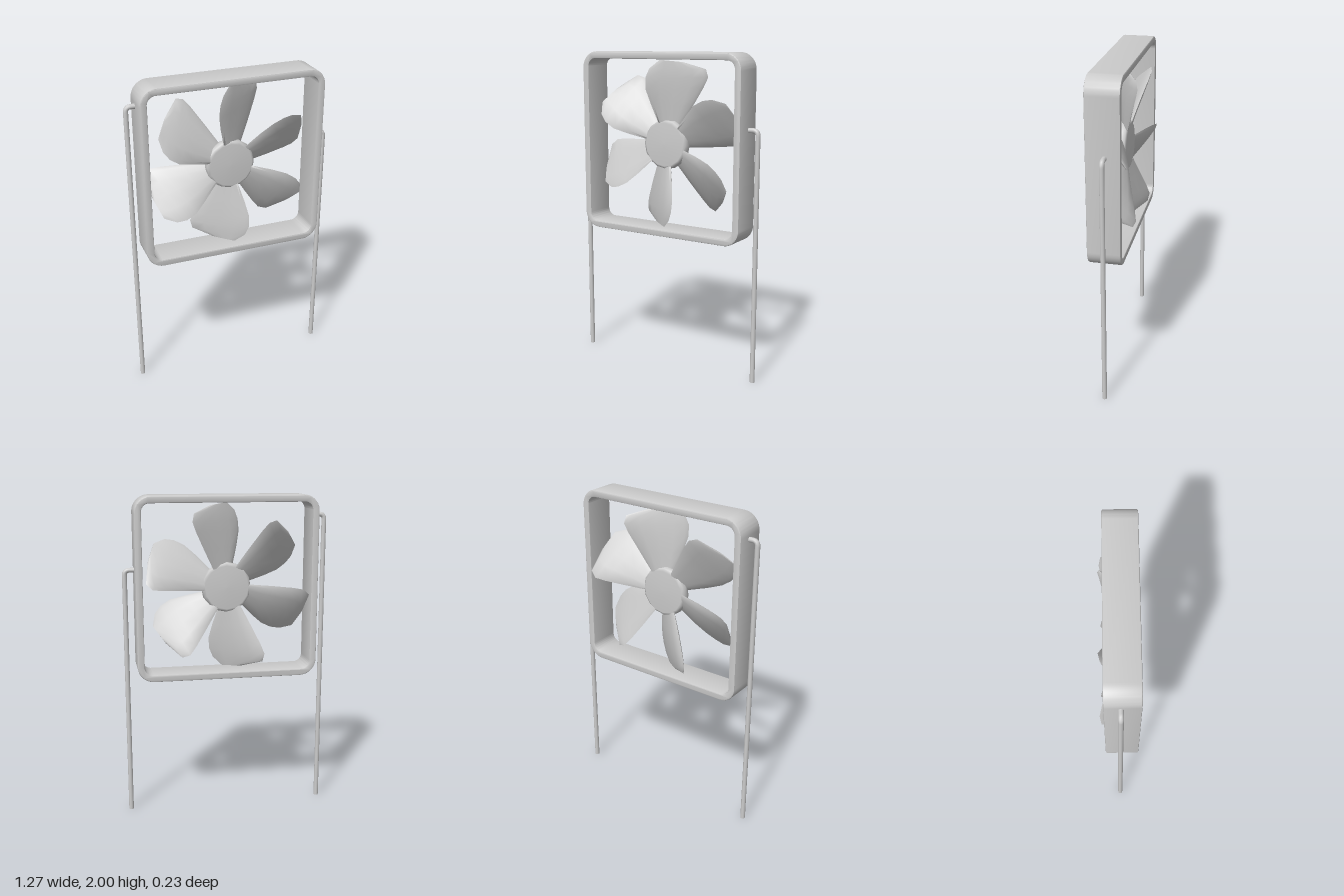
import * as THREE from 'three';
import { toCreasedNormals, mergeVertices } from 'three/addons/utils/BufferGeometryUtils.js';

const material = new THREE.MeshStandardMaterial({ color: 0xcccccc });
const CX = -0.003, CY = 1.436;

function part(name, geometry) {
  const mesh = new THREE.Mesh(geometry, material);
  mesh.name = name;
  return mesh;
}

// Draws a rounded square, centred on the origin, into a shape or path
function roundedSquare(path, h, r) {
  path.moveTo(h, -h + r);
  path.absarc(h - r, h - r, r, 0, Math.PI / 2);
  path.absarc(-h + r, h - r, r, Math.PI / 2, Math.PI);
  path.absarc(-h + r, -h + r, r, Math.PI, Math.PI * 1.5);
  path.absarc(h - r, -h + r, r, Math.PI * 1.5, Math.PI * 2);
  return path;
}

// Square housing with softened rims
function frameGeometry() {
  const bevel = 0.008;
  const shape = roundedSquare(new THREE.Shape(), 0.566 - bevel, 0.095);
  shape.holes.push(roundedSquare(new THREE.Path(), 0.522 + bevel, 0.06));
  const geo = new THREE.ExtrudeGeometry(shape, {
    depth: 0.2 - 2 * bevel, bevelSize: bevel, bevelThickness: bevel, bevelSegments: 2, curveSegments: 8,
  });
  geo.translate(CX, CY - 0.002, -0.09 + bevel);
  return toCreasedNormals(geo, 0.7);
}

// Blade: lens-shaped sections between a leading and a trailing edge
function bladeGeometry() {
  // [left x, left y, right x, right y, pitch slope, half thickness]
  const rows = [
    [-0.045, 0.13, 0.085, 0.115, 0.45, 0.014],
    [-0.078, 0.25, 0.145, 0.235, 0.58, 0.02],
    [-0.097, 0.34, 0.2, 0.35, 0.66, 0.02],
    [-0.092, 0.41, 0.223, 0.41, 0.69, 0.017],
    [-0.07, 0.465, 0.212, 0.46, 0.7, 0.012],
    [-0.015, 0.516, 0.1, 0.502, 0.7, 0.004],
  ];
  const N = 12, pos = [], idx = [];
  for (const [lx, ly, rx, ry, slope, th] of rows) {
    const len = Math.hypot(1, slope);
    for (let k = 0; k < N; k++) {
      const a = (k / N) * Math.PI * 2;
      const u = (1 + Math.cos(a)) / 2, n = th * Math.sin(a);
      const x = lx + (rx - lx) * u, y = ly + (ry - ly) * u;
      pos.push(x + n * slope / len, y, -slope * (x - 0.13 * y) + n / len);
    }
  }
  for (let r = 0; r < rows.length - 1; r++) {
    for (let k = 0; k < N; k++) {
      const a = r * N + k, b = r * N + (k + 1) % N;
      idx.push(a, a + N, b, b, a + N, b + N);
    }
  }
  // Close the root and the tip
  const tip = (rows.length - 1) * N;
  for (let k = 1; k < N - 1; k++) {
    idx.push(0, k, k + 1, tip, tip + k + 1, tip + k);
  }
  // Make sure the faces point outward
  const v = (i) => new THREE.Vector3().fromArray(pos, i * 3);
  let volume = 0;
  for (let i = 0; i < idx.length; i += 3) {
    volume += v(idx[i]).dot(v(idx[i + 1]).cross(v(idx[i + 2])));
  }
  if (volume < 0) idx.reverse();
  const geo = new THREE.BufferGeometry();
  geo.setAttribute('position', new THREE.Float32BufferAttribute(pos, 3));
  geo.setIndex(idx);
  return toCreasedNormals(mergeVertices(geo), 1.2);
}

// Hub: a thick disc with a rounded rim
function hubGeometry() {
  const profile = [[0, -0.036], [0.135, -0.034], [0.15, -0.024], [0.156, 0], [0.15, 0.024], [0.135, 0.034], [0, 0.036]]
    .map(([x, y]) => new THREE.Vector2(x, y));
  return new THREE.LatheGeometry(profile, 16).rotateX(Math.PI / 2);
}

// Support rod: runs up from the floor and bends in to the housing
function rodGeometry(side, top) {
  const x = side * 0.622, bend = 0.03;
  const path = new THREE.CurvePath();
  const p = (px, py) => new THREE.Vector3(px, py, 0);
  path.add(new THREE.LineCurve3(p(x, 0), p(x, top - bend)));
  path.add(new THREE.QuadraticBezierCurve3(p(x, top - bend), p(x, top), p(x - side * bend, top)));
  path.add(new THREE.LineCurve3(p(x - side * bend, top), p(side * 0.545, top)));
  return new THREE.TubeGeometry(path, 160, 0.015, 12);
}

export function createModel() {
  const model = new THREE.Group();
  model.name = 'boxFan';
  model.add(part('frame', frameGeometry()));

  const rotor = new THREE.Group();
  rotor.name = 'rotor';
  rotor.position.set(CX, CY, 0);
  rotor.add(part('hub', hubGeometry()));
  const blade = bladeGeometry();
  for (let i = 0; i < 6; i++) {
    const mesh = part('blade', blade);
    mesh.rotation.z = i * Math.PI / 3;
    rotor.add(mesh);
  }
  model.add(rotor);

  for (const [name, side, top] of [['leftRod', 1, 1.555], ['rightRod', -1, 1.875]]) {
    model.add(part(name, rodGeometry(side, top)));
    const cap = part(name + 'Foot', new THREE.CircleGeometry(0.015, 12).rotateX(Math.PI / 2));
    cap.position.x = side * 0.622;
    model.add(cap);
  }
  return model;
}
